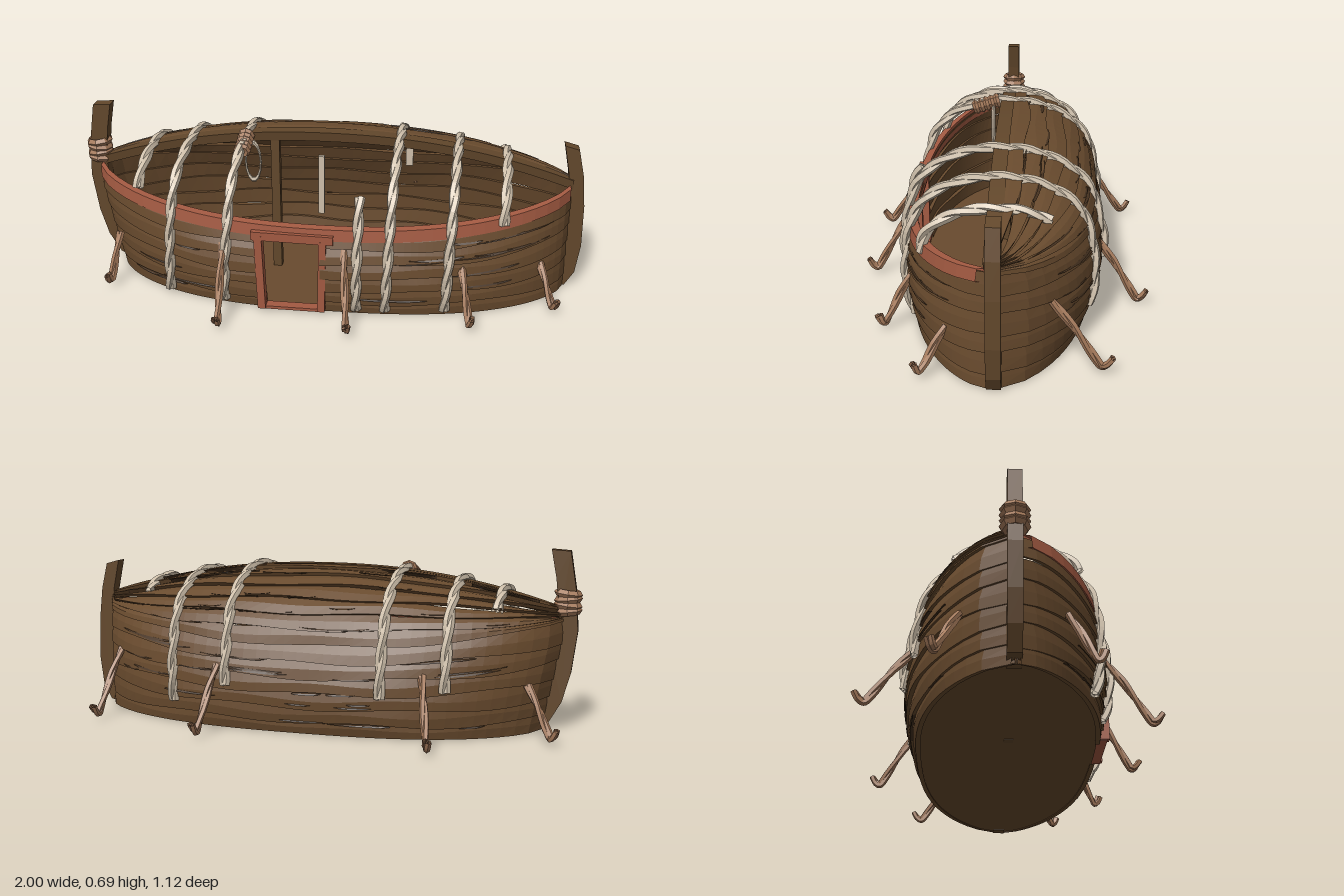
import * as THREE from 'three';

const mat = (name, color) => {
  const m = new THREE.MeshStandardMaterial({ color, side: THREE.DoubleSide, flatShading: true });
  m.name = name;
  return m;
};

let seed = 7;
const rnd = () => (seed = (seed * 16807) % 2147483647) / 2147483647;
const V = (x, y, z) => new THREE.Vector3(x, y, z);

// Hull rules: s runs bow to stern (-1..1), t runs up the wall (0..1) and over the roof (1..2)
const halfWidth = s => 0.376 * Math.pow(Math.max(0, 1 - Math.pow(Math.abs(s), 2.65)), 0.66);
const railY = s => 0.345 + 0.08 * s * s;
const ridgeY = s => 0.6 - 0.15 * Math.pow(Math.abs(s), 2.2);
function hull(s, t, side, off = 0) {
  let r, y, nz = 1, ny = 0;
  if (t <= 1) {
    y = t * railY(s);
    r = side > 0 ? 0.87 + 0.34 * t - 0.31 * t * t : 0.88 + 0.46 * t - 0.4 * t * t;
  } else {
    const a = (t - 1) * Math.PI / 2;
    nz = Math.cos(a);
    ny = Math.sin(a);
    r = (side > 0 ? 0.9 : 0.94) * Math.max(0, nz);
    y = railY(s) + (ridgeY(s) - railY(s)) * ny;
  }
  const len = s < 0 ? 0.87 + 0.07 * Math.min(1, y / 0.35) : 0.945;
  return V(s * len, y + ny * off, side * (halfWidth(s) * r + nz * off));
}

// Skins a row of cross-sections
function loft(rings, closed = true) {
  const n = rings[0].length, pos = [], idx = [];
  rings.forEach(r => r.forEach(p => pos.push(p.x, p.y, p.z)));
  for (let i = 0; i < rings.length - 1; i++)
    for (let j = 0; j < (closed ? n : n - 1); j++) {
      const a = i * n + j, b = i * n + (j + 1) % n;
      idx.push(a, b, a + n, b, b + n, a + n);
    }
  const g = new THREE.BufferGeometry();
  g.setAttribute('position', new THREE.Float32BufferAttribute(pos, 3));
  g.setIndex(idx);
  const flat = g.toNonIndexed();
  flat.computeVertexNormals();
  return flat;
}

// A lapped plank between two heights with wandering edges
function plank(s0, s1, t0, t1, side, { out = 0.016, wob = 0.02, taper = 0, n = 36, thick = 0.018 } = {}) {
  const rings = [], p = rnd() * 6, q = rnd() * 6;
  for (let i = 0; i <= n; i++) {
    const f = i / n, s = s0 + (s1 - s0) * f;
    const shrink = taper * Math.pow(Math.abs(2 * f - 1), 3) * (t1 - t0) / 2;
    const lo = Math.max(0, t0 + shrink + wob * Math.sin(s * 9 + p) * (t0 > 0 ? 1 : 0));
    const hi = Math.min(2, t1 - shrink + wob * Math.sin(s * 11 + q) * (t1 === 1 ? 0 : 1));
    rings.push([hull(s, lo, side, out), hull(s, (lo + hi) / 2, side, out * 0.75), hull(s, hi, side, 0.001),
      hull(s, hi, side, 0.001 - thick), hull(s, lo, side, out - thick)]);
  }
  return loft(rings);
}

export function createModel() {
  const model = new THREE.Group();
  const wood = mat('hull wood', 0x694b2e);
  const stemWood = mat('stem wood', 0x62472b);
  const crack = mat('dark crack', 0x45311f);
  const bone = mat('pale rope', 0xcfc0ab);
  const tan = mat('tan branch', 0xa4795a);
  const red = mat('red trim', 0xa35a42);
  const add = (name, geo, material, parent = model) => {
    const m = new THREE.Mesh(geo, material);
    m.name = name;
    parent.add(m);
    return m;
  };
  const box = (name, w, h, d, x, y, z, material) => {
    const m = add(name, new THREE.BoxGeometry(w, h, d), material);
    m.position.set(x, y, z);
    return m;
  };
  const group = name => {
    const g = new THREE.Group();
    g.name = name;
    model.add(g);
    return g;
  };

  // Walls: six lapped strakes each side, the front ones broken by the doorway
  const walls = group('walls');
  const spans = [[-1, -0.235, 1], [0.005, 1, 1], [-1, 1, -1]];
  for (const [a, b, side] of spans)
    for (let k = 0; k < 6; k++)
      add('wallPlank', plank(a, b, Math.max(0, k / 6 - 0.03), (k + 1) / 6, side), wood, walls);

  // Roof: planks over the back half, thinning towards the ends
  const roof = group('roof');
  for (let k = 0; k < 7; k++)
    add('roofPlank', plank(-1, 1, 0.98 + k / 7, 1 + (k + 1) / 7, -1,
      { taper: k > 1 ? 0.5 : 0.1, wob: 0.015 }), wood, roof);

  // Cracks: thin dark slivers lying on the planks
  const cracks = group('cracks');
  for (let i = 0; i < 75; i++) {
    const side = i % 3 ? -1 : 1, roofPart = side < 0 && i % 2;
    const s = -0.9 + 1.65 * rnd(), len = 0.08 + 0.22 * rnd();
    const row = roofPart ? 1 + (1 + Math.floor(rnd() * 6)) / 7 : (1 + Math.floor(rnd() * 5)) / 6;
    const t = row + (rnd() - 0.5) * 0.08;
    if (side > 0 && s + len > -0.28 && s < 0.05) continue;
    add('crack', plank(s, Math.min(0.96, s + len), t - 0.014, t + 0.014, side,
      { out: 0.018, wob: 0.008, taper: 1, n: 8, thick: 0.002 }), crack, cracks);
  }

  // Floor and ridge beam
  const floorRings = [], ridgeRings = [];
  for (let i = 0; i <= 40; i++) {
    const s = -1 + i / 20;
    floorRings.push([hull(s, 0, -1, 0.004), hull(s, 0, 1, 0.004)].map(p => p.setY(0.004)));
    const p = hull(s, 2, 1);
    ridgeRings.push([[0.01, -0.028], [0.01, 0.028], [-0.028, 0.022], [-0.028, -0.022]]
      .map(([y, z]) => V(p.x, p.y + y, p.z + z)));
  }
  add('floor', loft(floorRings, false), wood);
  add('ridgeBeam', loft(ridgeRings), stemWood);

  // Red rail along the open front edge
  const railRings = [];
  for (let i = 0; i <= 40; i++) {
    const s = -0.99 + 1.98 * i / 40, p = hull(s, 1, 1);
    railRings.push([[0.014, -0.014], [0.01, 0.016], [-0.036, 0.022], [-0.036, -0.012]]
      .map(([y, z]) => V(p.x, p.y + y, p.z + z)));
  }
  add('rail', loft(railRings), red);

  // Curved end posts
  const stem = (name, pts) => {
    const sh = new THREE.Shape(pts.map(([x, y]) => new THREE.Vector2(x, y)));
    const g = new THREE.ExtrudeGeometry(sh, { depth: 0.05, bevelEnabled: false });
    add(name, g.translate(0, 0, -0.03), stemWood);
  };
  stem('rightStem', [[-0.84, 0], [-0.89, 0.03], [-0.935, 0.11], [-0.965, 0.22], [-0.985, 0.38], [-0.975, 0.53],
    [-0.95, 0.68], [-0.88, 0.685], [-0.9, 0.58], [-0.915, 0.45], [-0.9, 0.25], [-0.86, 0.1], [-0.82, 0.02]]);
  stem('leftStem', [[0.9, 0], [0.95, 0], [0.985, 0.06], [1, 0.18], [0.995, 0.35], [0.98, 0.48], [0.955, 0.585],
    [0.9, 0.6], [0.925, 0.48], [0.935, 0.35], [0.93, 0.15]]);

  // Lashing around the tall post
  const lashing = group('stemLashing');
  for (let i = 0; i < 4; i++) {
    const m = add('lashingTurn', new THREE.TorusGeometry(0.037, 0.016, 5, 8), tan, lashing);
    m.position.set(-0.945, 0.455 + i * 0.022, -0.005);
    m.rotation.set(Math.PI / 2, (i % 2 ? 0.12 : -0.1), 0);
  }

  // Door frame
  box('doorPost', 0.03, 0.31, 0.04, -0.225, 0.165, 0.353, red).rotation.z = 0.03;
  box('doorPost', 0.028, 0.3, 0.04, 0.012, 0.16, 0.353, red).rotation.z = -0.02;
  box('doorLintel', 0.31, 0.034, 0.045, -0.1, 0.318, 0.35, red).rotation.z = -0.015;
  box('doorSill', 0.25, 0.012, 0.04, -0.105, 0.012, 0.345, red);

  // Ridge support and pale posts against the back wall
  box('ridgePost', 0.035, 0.585, 0.035, -0.22, 0.295, 0, stemWood);
  box('palePost', 0.026, 0.27, 0.02, -0.08, 0.235, -0.31, bone);
  box('palePost', 0.03, 0.09, 0.02, 0.3, 0.42, -0.25, bone);

  // Twisted pair of strands along a path
  const rope = (name, path, r, twist, material) => {
    const g = group(name), n = 48, len = path.getLength();
    for (let k = 0; k < 2; k++) {
      const pts = [];
      for (let i = 0; i <= n; i++) {
        const p = path.getPointAt(i / n), dir = path.getTangentAt(i / n);
        const side = V(1, 0, 0).addScaledVector(dir, -dir.x).normalize();
        const up = dir.clone().cross(side);
        const a = i / n * len * twist + k * Math.PI;
        pts.push(p.addScaledVector(side, Math.cos(a) * r * 0.4).addScaledVector(up, Math.sin(a) * r * 0.4));
      }
      add('strand', new THREE.TubeGeometry(new THREE.CatmullRomCurve3(pts), 56, r * 0.8, 5), material, g);
    }
  };

  // Rope ribs: x at front foot, ridge and back foot, then girth at each end (-2 front foot, 0 ridge, 2 back foot)
  const ribs = [
    [-0.605, -0.55, -0.54, -1.98, 1.5], [-0.375, -0.325, -0.31, -1.98, 1.55], [0.25, 0.275, 0.285, -1.98, 1.5],
    [0.475, 0.5, 0.52, -1.98, 1.75], [0.67, 0.69, 0.68, -1.05, 0.52], [-0.74, -0.71, -0.7, -0.85, 0.62],
    [0.14, 0.15, 0.15, -1.98, -0.68],
  ];
  for (const [xf, xr, xb, u0, u1] of ribs) {
    const pts = [];
    for (let i = 0; i <= 14; i++) {
      const u = u0 + (u1 - u0) * i / 14;
      const x = xr + (u < 0 ? xf - xr : xb - xr) * Math.abs(u) / 2;
      const off = 0.01 + 0.008 * Math.min(1, Math.abs(u));
      const p = hull(x / 0.94, 2 - Math.abs(u), u < 0 ? 1 : -1, off);
      pts.push(V(x, Math.max(p.y, 0.02), p.z));
    }
    rope('ropeRib', new THREE.CatmullRomCurve3(pts), 0.0185, 26, bone);
  }

  // Knot and hanging loop on the tallest rib
  const knot = group('knot');
  for (let i = 0; i < 5; i++) {
    const m = add('knotTurn', new THREE.TorusGeometry(0.021, 0.013, 5, 8), tan, knot);
    m.position.set(-0.327, 0.592 - i * 0.007, 0.045 + i * 0.022);
    m.rotation.x = 0.3;
  }
  const loop = add('hangingLoop', new THREE.TorusGeometry(0.05, 0.007, 5, 14), bone, knot);
  loop.position.set(-0.3, 0.49, 0.06);
  loop.scale.set(0.6, 1.6, 1);

  // Branch props: hull point, foot point, ending in a short upturned toe
  const props = [
    [-0.46, 0.25, -0.34, -0.52, -0.54], [0.32, 0.26, -0.36, 0.35, -0.55], [0.81, 0.26, -0.19, 0.835, -0.4],
    [-0.82, 0.2, -0.18, -0.935, -0.27], [-0.83, 0.2, 0.17, -0.86, 0.28], [-0.37, 0.27, 0.34, -0.36, 0.55],
    [0.09, 0.29, 0.34, 0.125, 0.54], [0.53, 0.21, 0.31, 0.58, 0.43], [0.83, 0.17, 0.16, 0.9, 0.265],
  ];
  for (const [x, y, z, fx, fz] of props) {
    const pt = (f, h) => V(x + (fx - x) * f, h, z + (fz - z) * f);
    const path = new THREE.CatmullRomCurve3([pt(0, y), pt(0.35, y * 0.66), pt(0.62, y * 0.33), pt(0.82, 0.025),
      pt(0.92, 0.035), pt(1, 0.06)], false, 'catmullrom', 0.2);
    rope('branchProp', path, 0.014, 18, tan);
  }
  return model;
}
